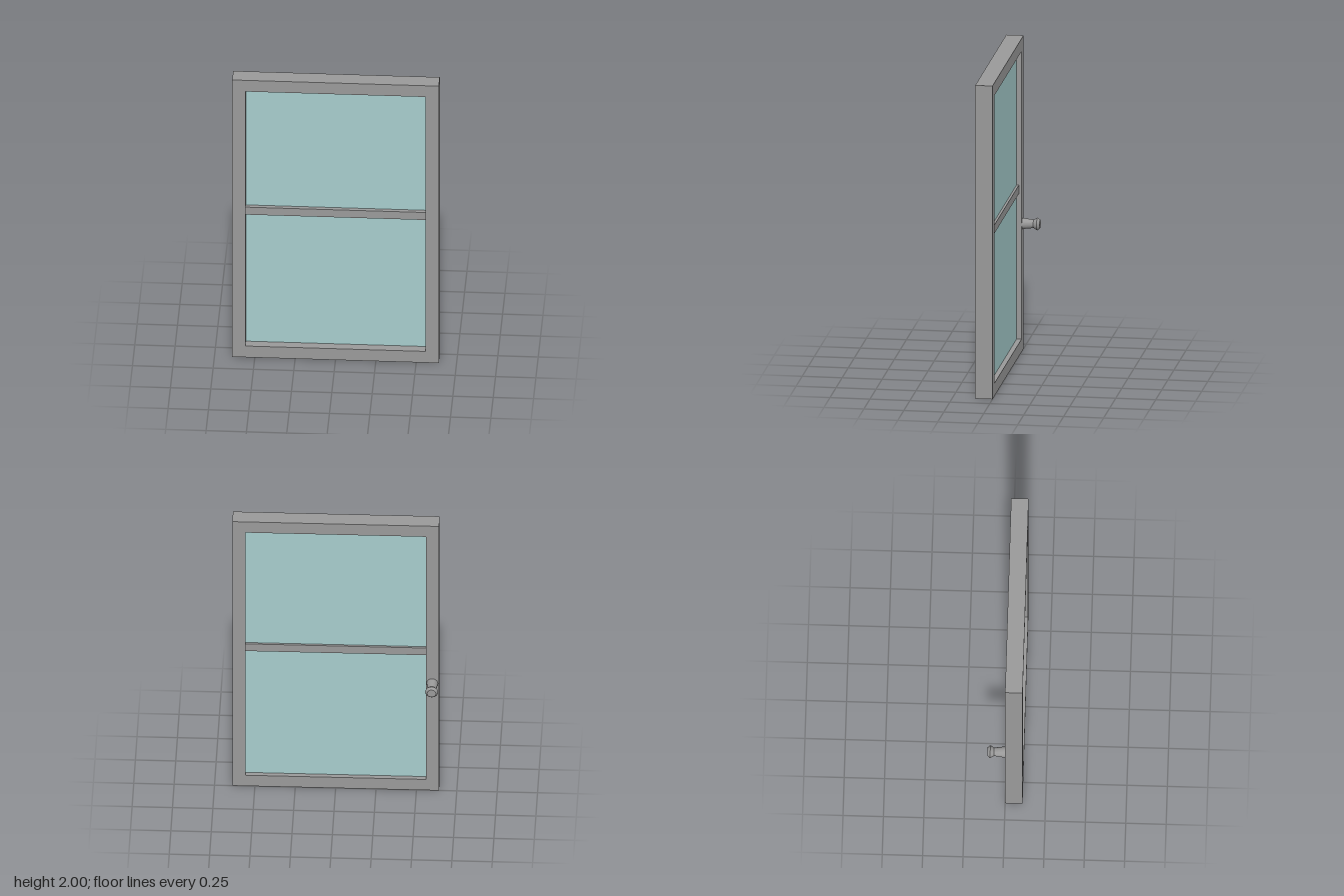
import * as THREE from 'three';
import { toCreasedNormals } from 'three/addons/utils/BufferGeometryUtils.js';

const HALF_W = 0.64, HEIGHT = 2, DEPTH = 0.108, BORDER = 0.081;

const paint = (color) => new THREE.MeshStandardMaterial({ color });

function rectangle(Type, x, y0, y1) {
  const path = new Type();
  path.moveTo(-x, y0);
  path.lineTo(x, y0);
  path.lineTo(x, y1);
  path.lineTo(-x, y1);
  path.closePath();
  return path;
}

export function createModel() {
  const model = new THREE.Group();
  model.name = 'glazedDoor';
  const frameMaterial = paint(0x999999);
  const glassMaterial = paint(0xa6cccc);
  const openX = HALF_W - BORDER;

  function add(name, geometry, material, x = 0, y = 0, z = 0) {
    const mesh = new THREE.Mesh(geometry, material);
    mesh.name = name;
    mesh.position.set(x, y, z);
    model.add(mesh);
    return mesh;
  }

  // Outer frame with one tall opening
  const outline = rectangle(THREE.Shape, HALF_W, 0, HEIGHT);
  outline.holes.push(rectangle(THREE.Path, openX, BORDER, HEIGHT - BORDER));
  add('frame', new THREE.ExtrudeGeometry(outline, { depth: DEPTH, bevelEnabled: false }), frameMaterial);

  // Crossbar, set back from both faces of the frame
  const barLow = 1.011, barHigh = 1.065;
  add('crossbar', new THREE.BoxGeometry(openX * 2, barHigh - barLow, 0.06),
    frameMaterial, 0, (barLow + barHigh) / 2, 0.046);

  // Glass panes below and above the crossbar
  const panes = [['lowerPane', BORDER, barLow], ['upperPane', barHigh, HEIGHT - BORDER]];
  for (const [name, low, high] of panes) {
    add(name, new THREE.BoxGeometry(openX * 2, high - low, 0.018),
      glassMaterial, 0, (low + high) / 2, 0.04);
  }

  // Turned knob on the back: tapered neck, flared head, chamfered end
  const profile = [[0, 0], [0.035, 0], [0.026, 0.07], [0.04, 0.093], [0.027, 0.11], [0, 0.11]]
    .map(([r, h]) => new THREE.Vector2(r, h));
  const knob = toCreasedNormals(new THREE.LatheGeometry(profile, 20), 0.45);
  add('knob', knob, frameMaterial, -0.598, 0.81, 0).rotation.x = -Math.PI / 2;

  return model;
}
